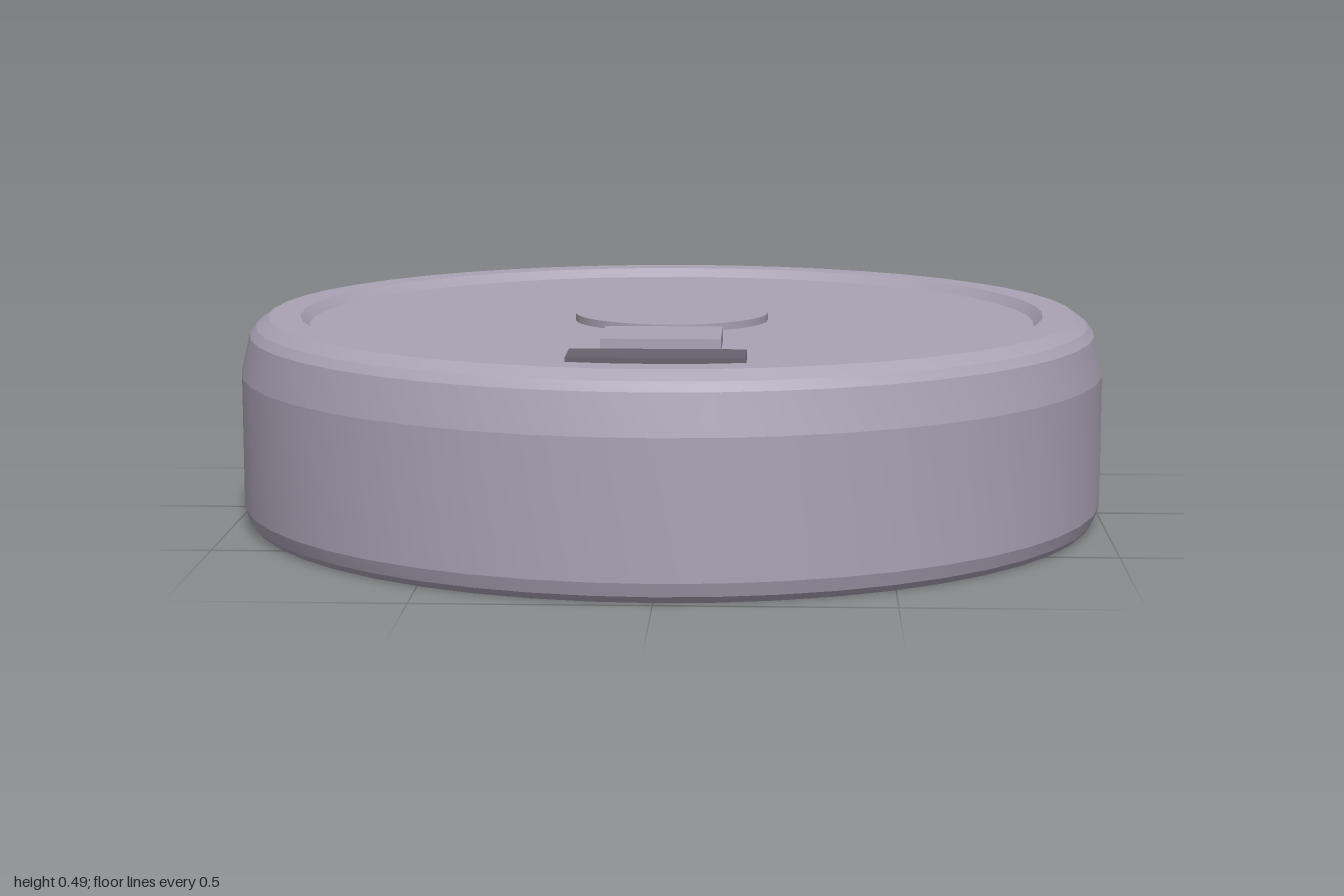
import * as THREE from 'three';
import { toCreasedNormals } from 'three/addons/utils/BufferGeometryUtils.js';

export function createModel() {
  const group = new THREE.Group();
  const shell = new THREE.MeshStandardMaterial({ name: 'mauve grey', color: 0xaaa3b4 });
  const dark = new THREE.MeshStandardMaterial({ name: 'dark grey', color: 0x68626f });
  const deckY = 0.455;

  const add = (name, geometry, material, x = 0, y = 0, z = 0) => {
    const mesh = new THREE.Mesh(geometry, material);
    mesh.name = name;
    mesh.position.set(x, y, z);
    group.add(mesh);
  };

  // Hollow round body: ceiling, inner wall, chamfered outer wall, rim, sunken deck
  const profile = [
    [0, 0.39], [0.97, 0.39], [0.972, 0],
    [0.977, 0], [0.99, 0.015], [1, 0.045], [1, 0.345],
    [0.98, 0.435], [0.965, 0.455], [0.935, 0.476],
    [0.862, 0.476], [0.842, deckY], [0, deckY],
  ].map(([r, y]) => new THREE.Vector2(r, y));
  add('body', toCreasedNormals(new THREE.LatheGeometry(profile, 48), 0.18), shell);

  // Raised disc in the middle of the deck
  add('centreDisc', new THREE.CylinderGeometry(0.225, 0.225, 0.025, 48), shell, 0, deckY + 0.0045, 0);

  // Block with its lower end sunk into the deck
  add('raisedBlock', new THREE.BoxGeometry(0.26, 0.05, 0.205), shell, -0.002, 0.462, 0.467);

  // Dark plate near the front edge
  add('darkPlate', new THREE.BoxGeometry(0.38, 0.03, 0.135), dark, -0.005, 0.457, 0.682);

  return group;
}
